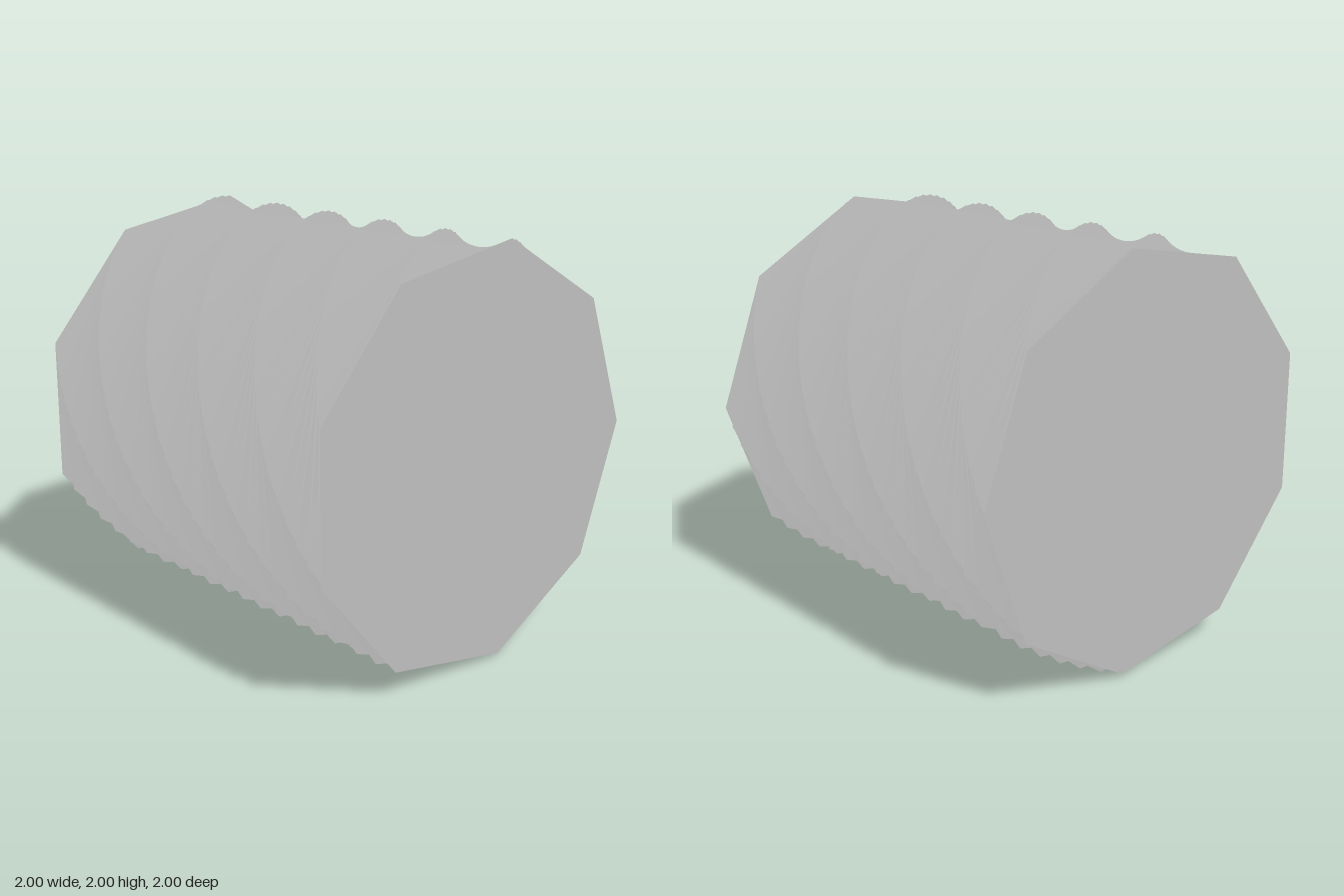
import * as THREE from 'three';

const SIDES = 9, LAYERS = 40, LENGTH = 2, RADIUS = 1;
const TWIST = THREE.MathUtils.degToRad(-45); // turn per layer, clockwise towards the back

// Corner k of layer i; layer 0 is the front rim
function corner(i, k) {
  const a = (k / SIDES) * Math.PI * 2 + i * TWIST;
  return [RADIUS * Math.cos(a), RADIUS * Math.sin(a), LENGTH / 2 - (i / LAYERS) * LENGTH];
}

function geometryFrom(positions) {
  const g = new THREE.BufferGeometry();
  g.setAttribute('position', new THREE.Float32BufferAttribute(positions, 3));
  g.computeVertexNormals();
  return g;
}

// Twisted wall: sharp rims with a pinched waist between neighbouring layers
function twistedWall() {
  const p = [];
  for (let i = 0; i < LAYERS; i++) {
    for (let k = 0; k < SIDES; k++) {
      const a = corner(i, k), b = corner(i, k + 1);
      const c = corner(i + 1, k), d = corner(i + 1, k + 1);
      p.push(...a, ...c, ...b, ...b, ...c, ...d);
    }
  }
  return geometryFrom(p);
}

// Flat nine-sided end plate
function endCap(i, facesFront) {
  const p = [];
  const centre = [0, 0, LENGTH / 2 - (i / LAYERS) * LENGTH];
  for (let k = 0; k < SIDES; k++) {
    const a = corner(i, k), b = corner(i, k + 1);
    p.push(...centre, ...(facesFront ? a : b), ...(facesFront ? b : a));
  }
  return geometryFrom(p);
}

export function createModel() {
  const grey = new THREE.MeshStandardMaterial({ color: 0xc0c0c0 });
  grey.name = 'plain grey';
  grey.flatShading = true;

  const model = new THREE.Group();
  model.name = 'twistedPrism';
  const add = (name, geometry) => {
    const mesh = new THREE.Mesh(geometry, grey);
    mesh.name = name;
    mesh.position.y = RADIUS; // rests on the ground
    model.add(mesh);
  };
  add('twistedWall', twistedWall());
  add('frontCap', endCap(0, true));
  add('backCap', endCap(LAYERS, false));
  return model;
}
